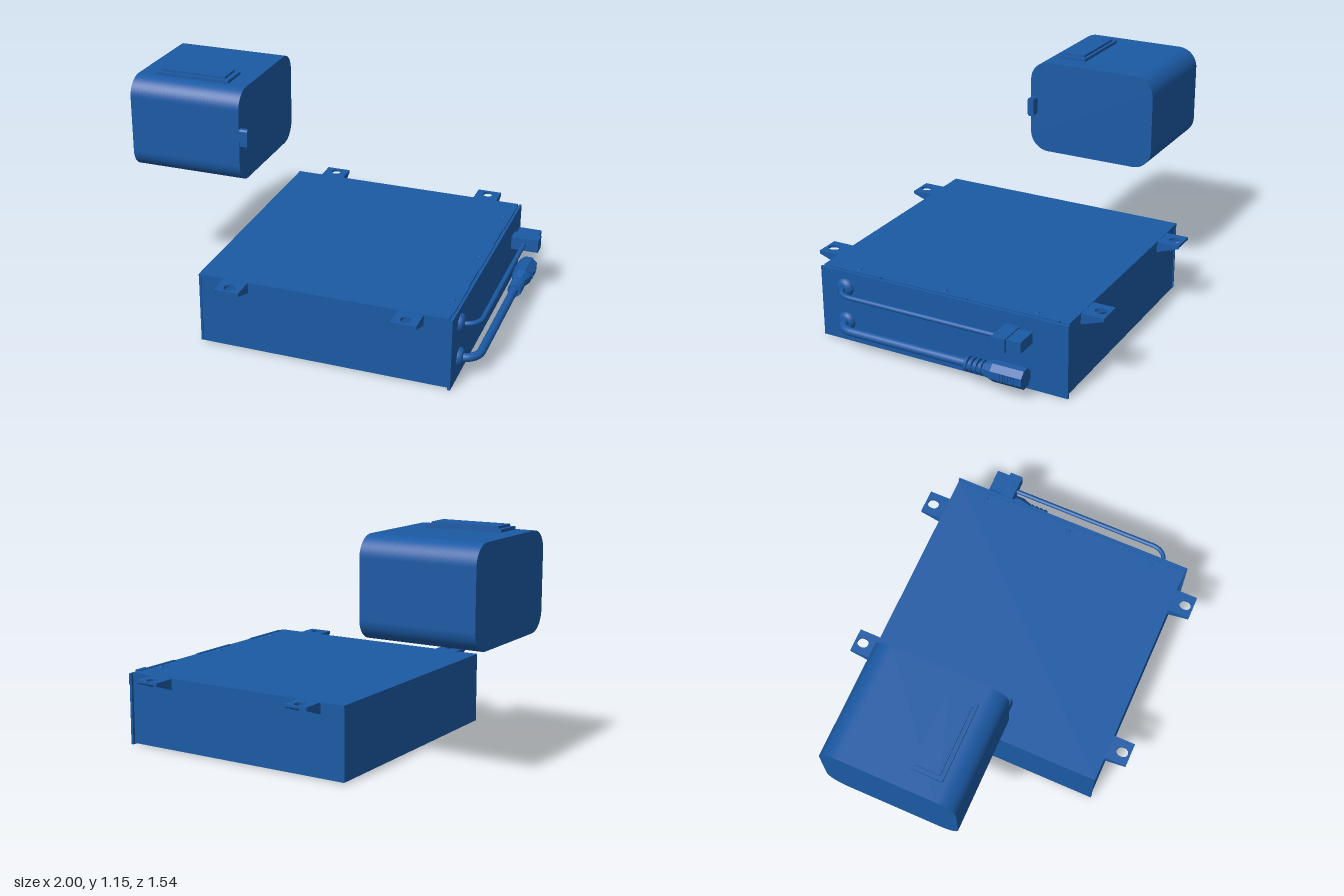
import * as THREE from 'three';

const mat = new THREE.MeshStandardMaterial({ color: 0x1b5aa5 });
const V = (x, y, z) => new THREE.Vector3(x, y, z);

function add(parent, name, geo, x = 0, y = 0, z = 0) {
  const mesh = new THREE.Mesh(geo, mat);
  mesh.name = name;
  mesh.position.set(x, y, z);
  parent.add(mesh);
  return mesh;
}

// Box given by its limits on each axis
function block(parent, name, [x0, x1], [y0, y1], [z0, z1]) {
  return add(parent, name, new THREE.BoxGeometry(x1 - x0, y1 - y0, z1 - z0),
    (x0 + x1) / 2, (y0 + y1) / 2, (z0 + z1) / 2);
}

function group(parent, name) {
  const g = new THREE.Group();
  g.name = name;
  parent.add(g);
  return g;
}

// Rounded rectangle centred on the origin
function roundRect(w, h, r) {
  const s = new THREE.Shape();
  const a = w / 2 - r, b = h / 2 - r;
  s.absarc(a, b, r, 0, Math.PI / 2);
  s.absarc(-a, b, r, Math.PI / 2, Math.PI);
  s.absarc(-a, -b, r, Math.PI, Math.PI * 1.5);
  s.absarc(a, -b, r, Math.PI * 1.5, Math.PI * 2);
  s.closePath();
  return s;
}

const extrude = (shape, depth, curveSegments = 12) =>
  new THREE.ExtrudeGeometry(shape, { depth, bevelEnabled: false, curveSegments });

// Round-cornered body lying along x, with a raised top plate and side latch
function buildModule(root) {
  const g = group(root, 'upperModule');
  const body = extrude(roundRect(0.685, 0.485, 0.1), 0.59, 16);
  body.rotateY(Math.PI / 2);
  add(g, 'moduleBody', body, -1, 0.8825, -0.1625);
  block(g, 'topPlate', [-0.905, -0.51], [1.12, 1.14], [-0.08, 0.075]);
  block(g, 'topPlateInset', [-0.885, -0.535], [1.135, 1.152], [-0.065, 0.055]);
  const latch = extrude(roundRect(0.035, 0.1, 0.014), 0.045);
  latch.rotateY(Math.PI / 2);
  add(g, 'sideLatch', latch, -0.413, 0.885, 0.161);
}

// Bracket reaching towards +z: slotted plate with two tapering cheeks
function buildBracket(parent, x, dir) {
  const g = group(parent, 'mountBracket');
  const w = 0.125, t = 0.012, len = 0.115;
  const plate = new THREE.Shape();
  plate.moveTo(-w / 2, 0);
  plate.lineTo(w / 2, 0);
  plate.lineTo(w / 2, len);
  plate.lineTo(-w / 2, len);
  plate.closePath();
  const slot = new THREE.Path();
  slot.absarc(0, 0.077, 0.025, 0, Math.PI);
  slot.absarc(0, 0.067, 0.025, Math.PI, Math.PI * 2);
  slot.closePath();
  plate.holes.push(slot);
  const plateGeo = extrude(plate, t);
  plateGeo.rotateX(Math.PI / 2);
  add(g, 'bracketPlate', plateGeo);

  const cheek = new THREE.Shape([
    new THREE.Vector2(0, 0), new THREE.Vector2(0, -0.056),
    new THREE.Vector2(-len, -0.016), new THREE.Vector2(-len, 0),
  ]);
  const cheekGeo = extrude(cheek, 0.008);
  cheekGeo.rotateY(Math.PI / 2);
  for (const cx of [-w / 2, w / 2 - 0.008]) add(g, 'bracketCheek', cheekGeo, cx, 0, 0);

  g.position.set(x, 0.368, dir * 0.655);
  if (dir < 0) g.rotation.y = Math.PI;
}

// Flat housing with lid, flanged end panel, screws and brackets
function buildHousing(root) {
  const g = group(root, 'housing');
  block(g, 'housingTray', [-0.42, 0.825], [0.005, 0.36], [-0.65, 0.65]);
  block(g, 'housingLid', [-0.425, 0.82], [0.358, 0.37], [-0.657, 0.657]);
  block(g, 'lidBackEdge', [-0.425, -0.415], [0.008, 0.365], [-0.655, 0.655]);
  block(g, 'endPanel', [0.825, 0.838], [0, 0.366], [-0.663, 0.663]);
  for (const z of [-0.47, 0, 0.47])
    block(g, 'panelTab', [0.812, 0.826], [0.355, 0.374], [z - 0.14, z + 0.14]);
  for (const z of [-0.48, 0, 0.475])
    add(g, 'lidScrew', new THREE.CylinderGeometry(0.012, 0.014, 0.006, 16), 0.785, 0.372, z);
  for (const x of [-0.2325, 0.6375])
    for (const dir of [1, -1]) buildBracket(g, x, dir);
}

// Cable leaving the end panel and turning to run along it, with grommet
function buildCable(root, name, y, r, endZ) {
  const g = group(root, name);
  const path = new THREE.CurvePath();
  const out = V(0.85, y, 0.525), turn = V(0.925, y, 0.44);
  path.add(new THREE.LineCurve3(V(0.83, y, 0.525), out));
  path.add(new THREE.CubicBezierCurve3(out, V(0.89, y, 0.525), V(0.925, y, 0.49), turn));
  path.add(new THREE.LineCurve3(turn, V(0.925, y, endZ)));
  add(g, 'cableCord', new THREE.TubeGeometry(path, 120, r, 16));

  const profile = [[0.046, 0], [0.046, 0.008], [0.038, 0.02], [r + 0.01, 0.026], [r, 0.026]]
    .map(([a, b]) => new THREE.Vector2(a, b));
  const grommet = add(g, 'cableGrommet', new THREE.LatheGeometry(profile, 28), 0.836, y, 0.525);
  grommet.rotation.z = -Math.PI / 2;
  grommet.material = new THREE.MeshStandardMaterial({ color: 0x1b5aa5, side: THREE.DoubleSide });
  return g;
}

// Square connector on the thin upper cable
function buildUpperCable(root) {
  const y = 0.285;
  const g = buildCable(root, 'upperCable', y, 0.012, -0.37);
  block(g, 'connectorCollar', [0.86, 1.0], [y - 0.033, y + 0.035], [-0.43, -0.36]);
  block(g, 'connectorNose', [0.87, 0.985], [y - 0.027, y + 0.029], [-0.5, -0.425]);
}

// Ribbed strain relief and faceted plug on the thick lower cable
function buildLowerCable(root) {
  const y = 0.105, x = 0.927;
  const g = buildCable(root, 'lowerCable', y, 0.021, -0.3);
  for (let i = 0; i < 4; i++) {
    const rib = add(g, 'strainReliefRib',
      new THREE.CylinderGeometry(0.034, 0.037, 0.016, 20), x, y, -0.198 - i * 0.026);
    rib.rotation.x = Math.PI / 2;
  }
  for (const s of [-1, 1])
    block(g, 'strainReliefSpine', [x + s * 0.024 - 0.006, x + s * 0.024 + 0.006],
      [y - 0.01, y + 0.01], [-0.295, -0.19]);

  // Octagonal sleeve tapering up to the plug body
  const neck = new THREE.CylinderGeometry(0.034, 0.05, 0.05, 8, 1, false, Math.PI / 8).toNonIndexed();
  neck.computeVertexNormals();
  const neckMesh = add(g, 'plugNeck', neck, x, y, -0.314);
  neckMesh.rotation.x = Math.PI / 2;
  const plug = new THREE.CylinderGeometry(0.05, 0.05, 0.16, 8, 1, false, Math.PI / 8).toNonIndexed();
  plug.computeVertexNormals();
  const plugMesh = add(g, 'plugBody', plug, x, y, -0.417);
  plugMesh.rotation.x = Math.PI / 2;
  // Grip bars on both flat sides
  for (const s of [-1, 1])
    for (let i = 0; i < 7; i++) {
      const z = -0.385 - i * 0.014, cx = x + s * 0.046;
      block(g, 'plugGripBar', [cx - 0.004, cx + 0.004], [y - 0.019, y + 0.019], [z - 0.004, z + 0.004]);
    }
}

export function createModel() {
  const root = new THREE.Group();
  root.name = 'housingWithModule';
  buildModule(root);
  buildHousing(root);
  buildUpperCable(root);
  buildLowerCable(root);
  return root;
}
